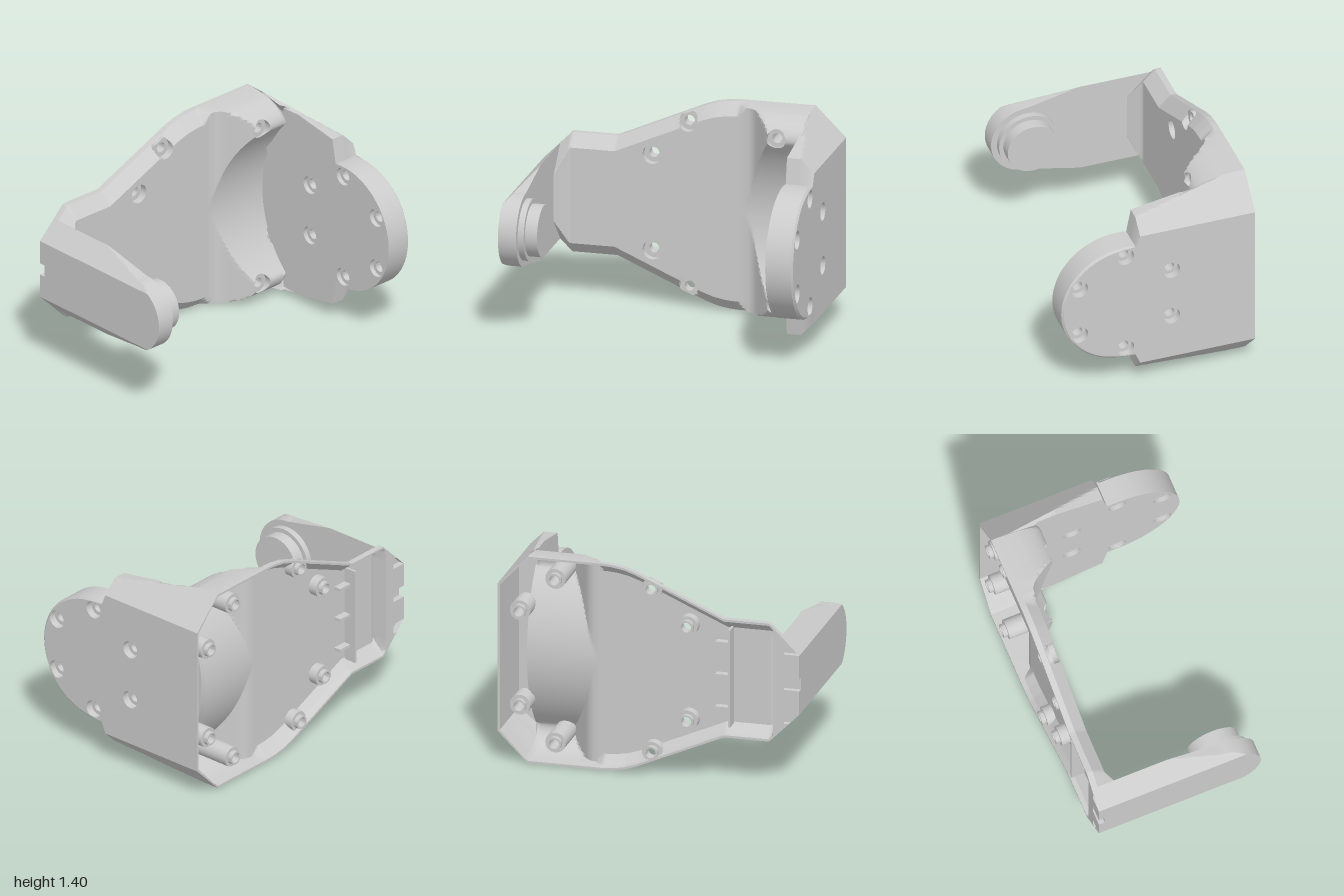
import * as THREE from 'three';
import { toCreasedNormals } from 'three/addons/utils/BufferGeometryUtils.js';

const MID = 0.7;      // height of the symmetry plane
const AXIS_Z = 0.22;  // pivot axis position
const BACK = -0.66;
const SOLID = -0.2;   // the wide arm is hollow behind this depth
const BORE = 0.065;   // counterbore radius of the plate screws
const mat = new THREE.MeshStandardMaterial({ color: 0xcccccc, side: THREE.DoubleSide });

function add(parent, name, geo, x = 0, y = 0, z = 0) {
  const m = new THREE.Mesh(geo, mat);
  m.name = name;
  m.position.set(x, y, z);
  parent.add(m);
  return m;
}

// piecewise linear lookup
function lerpTable(pts, x) {
  for (let i = 1; i < pts.length; i++) {
    const [x0, y0] = pts[i - 1], [x1, y1] = pts[i];
    if (x <= x1) return y0 + (y1 - y0) * Math.max(0, (x - x0) / (x1 - x0));
  }
  return pts[pts.length - 1][1];
}

// half height of the back plate along x, and its front surface before edge shaping
const halfHeight = x => lerpTable([[-1, 0.2], [-0.8, 0.4], [-0.5, 0.4], [0, 0.62],
  [0.08, 0.655], [0.16, 0.682], [0.24, 0.696], [0.3, 0.7], [0.8, 0.7], [1, 0.5]], x);
const slope = [[0.4, -0.533], [0.43, -0.515], [0.46, -0.48], [0.575, -0.32]];
const ramp = x => lerpTable([[-0.9, -0.44], [-0.8, -0.54], [0.36, -0.54], ...slope, [1, -0.32]], x);
// half height of the wide arm along z
const wideHeight = z => 0.7 - 0.169 * Math.max(0, z + 0.53);

function frontZ(x, dy) {
  const d = Math.max(0, halfHeight(x) - Math.abs(dy));
  const bore = AXIS_Z - Math.sqrt(0.76 ** 2 - dy * dy);
  const chamfer = -0.62 + d;
  const round = -0.62 + 0.3 * Math.sqrt(1 - (1 - Math.min(d, 0.15) / 0.15) ** 2);
  const k = THREE.MathUtils.smoothstep(x, 0.3, 0.44);
  const edge = chamfer + (round - chamfer) * k;
  return Math.min(ramp(x), x > 0.35 ? bore : 9, edge);
}

function backZ(x, dy) {
  if (halfHeight(x) - Math.abs(dy) < 0.018 || x < -0.82) return BACK;
  return Math.max(BACK, frontZ(x, dy) - 0.03);
}

// x where the slope meets the curved hollow or the rounded edge
const creaseX = dy => lerpTable(slope.map(([x, z]) => [z, x]), frontZ(0.7, dy));

const screws = [];
for (const s of [1, -1])
  screws.push([-0.015, s * 0.555], [0.625, s * 0.555], [-0.25, s * 0.32], [0.86, s * 0.32]);

// hollow plate: closed cross-sections swept along x; points are pulled onto
// the crease and the screw rims so that those edges stay clean
function plateGeometry() {
  const cols = 160, core = 80, insets = [0, 0.015, 0.02, 0.04, 0.06], step = 1.72 / cols;
  const pos = [], idx = [], cut = [];
  const n = 2 * (2 * insets.length + core + 1);
  const put = (x, y, surface) => {
    const xc = creaseX(y);
    if (Math.abs(x - xc) <= step / 2) x = xc;
    let inside = false;
    if (halfHeight(x) - Math.abs(y) > 0.021) for (const [sx, sy] of screws) {
      const r = Math.hypot(x - sx, y - sy);
      if (Math.abs(r - BORE) < 0.0115) {
        x = Math.min(0.82, sx + (x - sx) * BORE / r);
        y = sy + (y - sy) * BORE / r;
      } else if (r < BORE) inside = true;
    }
    pos.push(x, MID + y, surface(x, y));
    cut.push(inside);
  };
  for (let i = 0; i <= cols; i++) {
    const x = -0.9 + step * i, h = halfHeight(x);
    const ys = insets.map(d => d - h);
    for (let j = 0; j <= core; j++) ys.push((h - 0.08) * (2 * j / core - 1));
    ys.push(...insets.map(d => h - d).reverse());
    for (const y of ys) put(x, y, frontZ);
    for (const y of ys.reverse()) put(x, y, backZ);
  }
  for (let i = 0; i < cols; i++) for (let k = 0; k < n; k++) {
    const k2 = (k + 1) % n;
    const a = i * n + k, b = a + n, c = (i + 1) * n + k2, d = i * n + k2;
    if (!(cut[a] || cut[b] || cut[c] || cut[d])) idx.push(a, b, c, a, c, d);
  }
  const g = new THREE.BufferGeometry();
  g.setAttribute('position', new THREE.Float32BufferAttribute(pos, 3));
  g.setIndex(idx);
  return toCreasedNormals(g, 0.6);
}

// arm: side outline in [z, dy], extruded along x, outer edges cut at 45 degrees
function armGeometry(outline, holes, x0, depth, flat) {
  const shape = new THREE.Shape(outline.map(([z, y]) => new THREE.Vector2(-z, y)));
  for (const [z, y, r] of holes) {
    const p = new THREE.Path();
    p.absarc(-z, y, r, 0, Math.PI * 2, true);
    shape.holes.push(p);
  }
  const g = new THREE.ExtrudeGeometry(shape, { depth, steps: 14, bevelEnabled: false, curveSegments: 16 });
  g.rotateY(Math.PI / 2).translate(x0, 0, 0);
  const p = g.attributes.position;
  for (let i = 0; i < p.count; i++) {
    const lim = flat + 1 - Math.abs(p.getX(i)), y = p.getY(i), z = p.getZ(i) - AXIS_Z;
    // small bevel around the outer rim of the large flange
    const k = p.getX(i) > 0.995 && z > -0.06 && Math.hypot(y, z) > 0.425 ? 0.965 : 1;
    p.setZ(i, AXIS_Z + z * k);
    p.setY(i, MID + THREE.MathUtils.clamp(y * k, -lim, lim));
  }
  return toCreasedNormals(g, 0.5);
}

const mirrored = pts => pts.map(([a, y]) => [a, -y]).reverse();

// mirrors an upper half outline (front end last) and adds a round front end
function armOutline(upper, radius, startAngle) {
  const arc = [];
  for (let i = 0; i <= 64; i++) {
    const a = startAngle * (1 - i / 32);
    arc.push([AXIS_Z + radius * Math.cos(a), radius * Math.sin(a)]);
  }
  return [...upper, ...arc, ...mirrored(upper)];
}

// turned ring with its axis along z, profile in [radius, z]
function ringGeometry(profile) {
  const pts = [...profile, profile[0]].map(([r, z]) => new THREE.Vector2(r, z));
  return toCreasedNormals(new THREE.LatheGeometry(pts, 32).rotateX(Math.PI / 2), 0.6);
}

// counterbored screw boss, trimmed to the plate surface and outline
function bossGeometry(x, y) {
  const top = frontZ(x, y) > -0.55 ? frontZ(x, y) : ramp(x), seat = Math.max(top - 0.05, -0.6);
  const g = ringGeometry([[0.033, BACK], [0.045, BACK], [0.045, -0.63], [0.067, -0.63],
    [0.067, top], [BORE - 0.001, top], [BORE - 0.001, seat], [0.033, seat]]);
  const p = g.attributes.position;
  for (let i = 0; i < p.count; i++) {
    const h = halfHeight(x + p.getX(i)) - 0.004;
    const dy = THREE.MathUtils.clamp(y + p.getY(i), -h, h);
    p.setY(i, dy - y);
    if (p.getZ(i) > seat)
      p.setZ(i, Math.max(seat, Math.min(p.getZ(i), frontZ(x + p.getX(i), dy) - 0.001)));
  }
  return g;
}

// thin outer wall around the hollow of the wide arm, tapering towards the front
function outerWallGeometry() {
  const outer = [[0.8, 0.7], [1, 0.5]], inner = [[0.8, 0.69], [0.985, 0.492]];
  const section = [...outer, ...mirrored(outer), ...inner.map(([x, y]) => [x, -y]), ...[...inner].reverse()];
  const g = new THREE.ExtrudeGeometry(new THREE.Shape(section.map(p => new THREE.Vector2(...p))),
    { depth: SOLID - BACK, steps: 18, bevelEnabled: false });
  const p = g.attributes.position;
  for (let i = 0; i < p.count; i++) {
    const y = p.getY(i), z = p.getZ(i) + BACK, h = wideHeight(z);
    if (Math.abs(y) < 0.6) continue;
    const isOuter = Math.abs(y) > 0.695;
    p.setY(i, Math.sign(y) * (isOuter ? h : h - 0.008));
    p.setX(i, isOuter ? 1.5 - h : z > -0.34 ? 0.82 : 0.8);
  }
  return toCreasedNormals(g, 0.4);
}

export function createModel() {
  const g = new THREE.Group();
  g.name = 'bracket';
  add(g, 'backPlate', plateGeometry());
  for (const [x, y] of screws) add(g, 'screwBoss', bossGeometry(x, y), x, MID + y, 0);

  // cross wall with small gussets behind the plate
  add(g, 'crossWall', new THREE.BoxGeometry(0.015, 0.66, 0.095), -0.535, MID, -0.6125);
  for (const y of [-0.22, 0, 0.22])
    add(g, 'gusset', new THREE.BoxGeometry(0.1, 0.02, 0.06), -0.48, MID + y, -0.59);

  // narrow arm with notched rear edge and stepped pivot
  const slim = [[-0.62, 0.04], [BACK, 0.04], [BACK, 0.2], [-0.62, 0.2], [-0.62, 0.27], [BACK, 0.27]];
  for (let i = 0; i <= 30; i++) {
    const z = BACK + (AXIS_Z - 0.02 - BACK) * i / 30;
    slim.push([z, Math.min(0.4, 0.32 - 0.222 * (z + 0.14))]);
  }
  add(g, 'narrowArm', armGeometry(armOutline(slim, 0.24, Math.PI / 2), [], -1, 0.12, 0.2));
  for (const [r, x0, x1] of [[0.2, -0.89, -0.84], [0.17, -0.85, -0.76]]) {
    const c = new THREE.CylinderGeometry(r, r, x1 - x0, 56).rotateZ(Math.PI / 2);
    add(g, 'pivotStep', c, (x0 + x1) / 2, MID, AXIS_Z);
  }

  // wide arm with round mounting flange
  const wide = [];
  for (let i = 0; i <= 12; i++) {
    const z = SOLID + (0.12 - SOLID) * i / 12;
    wide.push([z, wideHeight(z)]);
  }
  const bolts = [];
  for (let i = 0; i < 6; i++) {
    const a = Math.PI / 6 + i * Math.PI / 3;
    bolts.push([AXIS_Z + 0.36 * Math.cos(a), 0.36 * Math.sin(a), 0.06]);
  }
  add(g, 'wideArm', armGeometry(armOutline(wide, 0.43, 1.734), bolts, 0.82, 0.18, 0.5));
  for (const [z, y] of bolts) {
    const ring = ringGeometry([[0.035, -0.05], [0.061, -0.05], [0.061, 0.05], [0.035, 0.05]]);
    add(g, 'boltSeat', ring, 0.9, MID + y, z).rotation.y = Math.PI / 2;
  }

  // inner cheek between the curved plate and the solid part of the arm
  const cheek = [];
  for (let i = 1; i <= 12; i++) {
    const y = 0.64 * i / 12;
    cheek.push([Math.min(-0.34, AXIS_Z - Math.sqrt(0.6 - y * y)), y]);
  }
  cheek.push([SOLID, wideHeight(SOLID)]);
  add(g, 'innerCheek', armGeometry([...cheek, ...mirrored(cheek)], [], 0.82, 0.015, 0.5));
  add(g, 'outerWall', outerWallGeometry(), 0, MID, BACK);
  return g;
}
